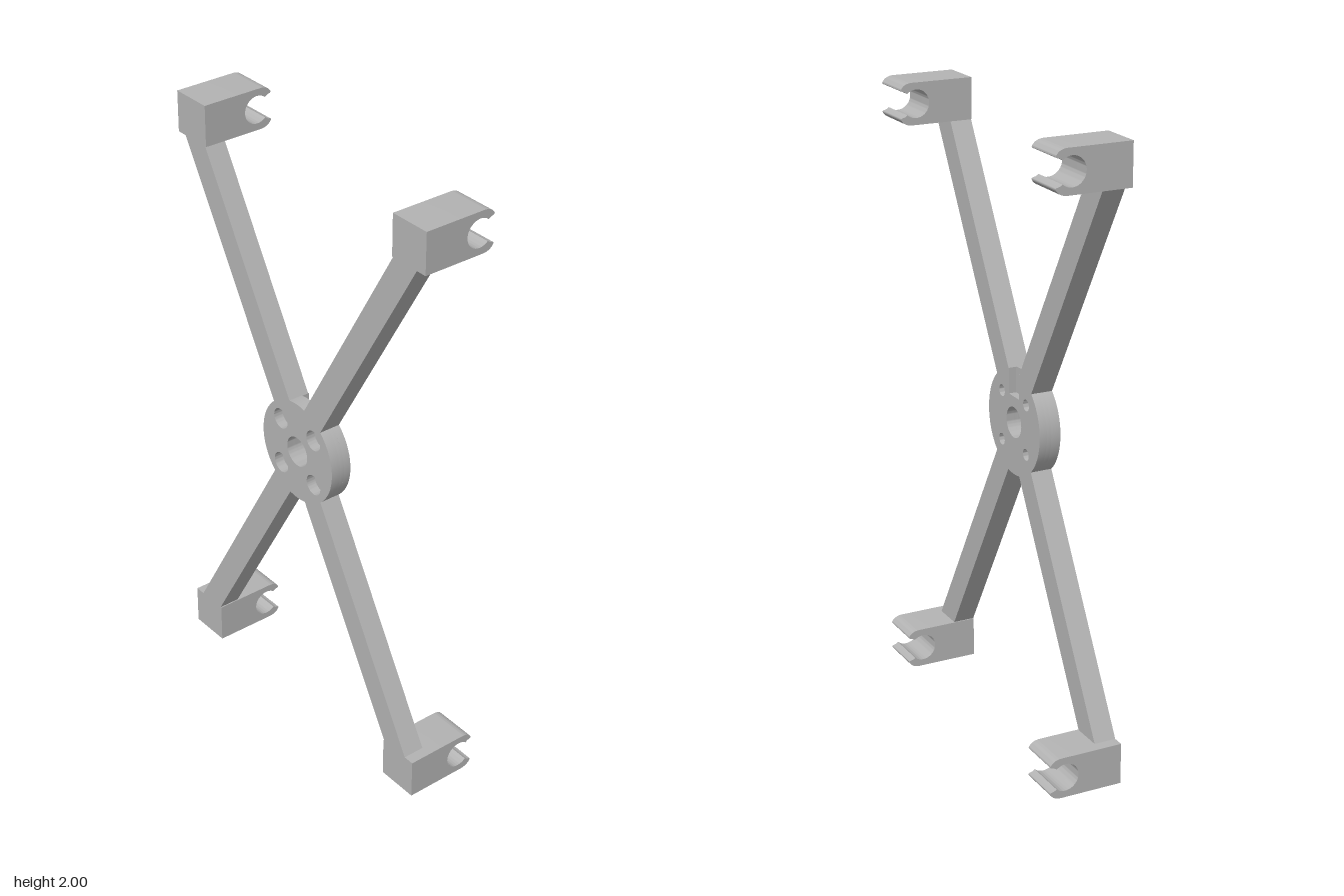
import * as THREE from 'three';
import { toCreasedNormals } from 'three/addons/utils/BufferGeometryUtils.js';

const FRONT = 0.122, BACK = 0.05, HUB_R = 0.172, MID_Y = 1;

const extrude = (shape, depth) => toCreasedNormals(
  new THREE.ExtrudeGeometry(shape, { depth, bevelEnabled: false, curveSegments: 32 }), 0.6);

const circle = (x, y, r) => new THREE.Path().absarc(x, y, r, 0, Math.PI * 2, true);

// Punch the bore and the four bolt holes into a hub outline
function drill(shape, boltRadius) {
  shape.holes.push(circle(0, 0, 0.05));
  for (const sx of [-1, 1]) for (const sy of [-1, 1])
    shape.holes.push(circle(sx * 0.081, sy * 0.081, boltRadius));
  return shape;
}

const disc = () => new THREE.Shape().absarc(0, 0, HUB_R, 0, Math.PI * 2, false);

// Disc with a keyway cut in from the top
function notchedDisc() {
  const w = 0.033, a = Math.acos(w / HUB_R);
  const s = new THREE.Shape();
  s.absarc(0, 0, HUB_R, Math.PI - a, Math.PI * 2 + a, false);
  s.lineTo(w, 0.085);
  s.lineTo(-w, 0.085);
  s.closePath();
  return s;
}

// Side profile of the end block with its open snap clip (shape x runs to the back)
function clipProfile() {
  const h = 0.067, c = 0.07, r = 0.045, a = 0.84;
  const tx = c + r * Math.cos(a), ty = r * Math.sin(a);
  const s = new THREE.Shape();
  s.moveTo(-FRONT, -h);
  s.lineTo(0.082, -h);
  s.quadraticCurveTo(0.108, -h, 0.119, -0.051);
  s.quadraticCurveTo(0.125, -0.043, 0.116, -0.041);
  s.quadraticCurveTo(0.107, -0.04, tx, -ty);
  s.absarc(c, 0, r, -a, a, true);
  s.quadraticCurveTo(0.107, 0.04, 0.116, 0.041);
  s.quadraticCurveTo(0.125, 0.043, 0.119, 0.051);
  s.quadraticCurveTo(0.108, h, 0.082, h);
  s.lineTo(-FRONT, h);
  s.closePath();
  return s;
}

export function createModel() {
  const group = new THREE.Group();
  const grey = new THREE.MeshStandardMaterial({ color: 0xb3b3b3 });
  grey.name = 'grey plastic';

  const add = (name, geometry, x, y, z) => {
    const mesh = new THREE.Mesh(geometry, grey);
    mesh.name = name;
    mesh.position.set(x, y, z);
    group.add(mesh);
  };

  // Hub in three layers: keyway, plain web, counterbores
  add('hubBack', extrude(drill(notchedDisc(), 0.019), 0.025), 0, MID_Y, BACK);
  add('hubMiddle', extrude(drill(disc(), 0.019), 0.015), 0, MID_Y, BACK + 0.025);
  add('hubFront', extrude(drill(disc(), 0.034), FRONT - BACK - 0.04), 0, MID_Y, BACK + 0.04);

  // Four arms, each ending in a clip block
  const clip = extrude(clipProfile(), 0.141).rotateY(Math.PI / 2).translate(-0.0705, 0, 0);
  const armCorners = [[0.1125, 0.124], [0.0346, 0.164], [0.459, 0.9], [0.56, 0.9]];
  for (const sx of [-1, 1]) for (const sy of [-1, 1]) {
    const place = (sy > 0 ? 'upper' : 'lower') + (sx > 0 ? 'Left' : 'Right');
    const shape = new THREE.Shape(armCorners.map(([x, y]) => new THREE.Vector2(sx * x, sy * y)));
    add(place + 'Arm', extrude(shape, FRONT - BACK), 0, MID_Y, BACK);
    add(place + 'Clip', clip, sx * 0.506, MID_Y + sy * 0.933, 0);
  }
  return group;
}
